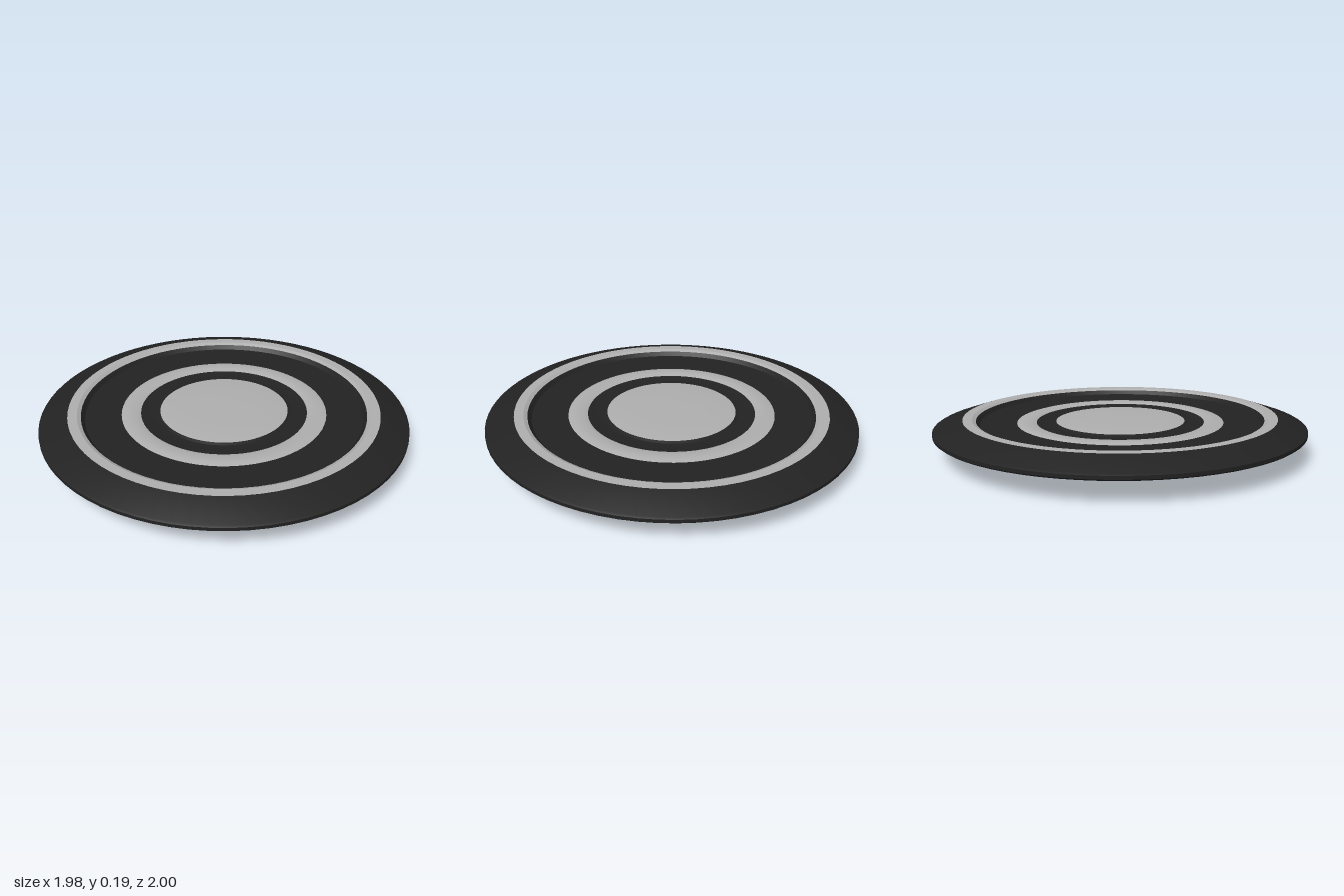
import * as THREE from 'three';
import { toCreasedNormals } from 'three/addons/utils/BufferGeometryUtils.js';

const dark = new THREE.MeshStandardMaterial({ color: 0x222222 });
const light = new THREE.MeshStandardMaterial({ color: 0xaeaeae });
dark.name = 'charcoal';
light.name = 'light grey';

// Turned band of the disc; the profile runs outward below and inward above
function band(name, material, profile, start = 0, length = Math.PI * 2) {
  const points = profile.map(([r, y]) => new THREE.Vector2(r, y));
  const segments = Math.max(6, Math.round(72 * length / (Math.PI * 2)));
  const geometry = new THREE.LatheGeometry(points, segments, start, length);
  const mesh = new THREE.Mesh(toCreasedNormals(geometry, 0.4), material);
  mesh.name = name;
  return mesh;
}

// Skin between equal cross-sections, optionally closed round and at the ends
function loft(name, material, sections, closed) {
  const n = sections[0].length;
  const index = [];
  for (let i = 0; i < sections.length - 1; i++) {
    for (let j = 0; j < (closed ? n : n - 1); j++) {
      const a = i * n + j, b = i * n + (j + 1) % n;
      index.push(a, b, a + n, b, b + n, a + n);
    }
  }
  if (closed) {
    const last = (sections.length - 1) * n;
    for (let j = 1; j < n - 1; j++) {
      index.push(0, j + 1, j, last, last + j, last + j + 1);
    }
  }
  const geometry = new THREE.BufferGeometry();
  geometry.setAttribute('position', new THREE.Float32BufferAttribute(sections.flat(2), 3));
  geometry.setIndex(index);
  const mesh = new THREE.Mesh(toCreasedNormals(geometry, 0.5), material);
  mesh.name = name;
  return mesh;
}

export function createModel() {
  const model = new THREE.Group();
  model.name = 'shield';

  // Disc, slightly narrower across than it is tall
  const disc = new THREE.Group();
  disc.name = 'disc';
  disc.scale.x = 0.988;
  disc.add(
    band('backCentre', dark, [[0, 0.125], [0.12, 0.125], [0.13, 0.118], [0.22, 0.118],
      [0.23, 0.108], [0.34, 0.108], [0.36, 0.095], [0.44, 0.09], [0.46, 0.066]]),
    band('backGroove', dark, [[0.61, 0.066], [0.63, 0.078], [0.74, 0.084], [0.765, 0.07]]),
    band('backOuterRing', light, [[0.765, 0.07], [0.845, 0.07]]),
    band('rim', dark, [[0.845, 0.07], [0.99, 0.112], [1, 0.12], [1, 0.137], [0.99, 0.143], [0.845, 0.19]]),
    band('frontOuterRing', light, [[0.845, 0.19], [0.795, 0.19], [0.775, 0.18]]),
    band('frontGroove', dark, [[0.775, 0.18], [0.755, 0.158], [0.56, 0.153]]),
    band('frontInnerRing', light, [[0.56, 0.153], [0.535, 0.16], [0.48, 0.16], [0.455, 0.152]]),
    band('frontInnerGroove', dark, [[0.455, 0.152], [0.44, 0.147], [0.365, 0.147], [0.35, 0.154]]),
    band('frontCentre', light, [[0.35, 0.154], [0.33, 0.157], [0.18, 0.16], [0, 0.161]]),
  );

  // Inner ring on the back, broken by dark gaps where the strap is fixed
  const ring = [[0.46, 0.066], [0.61, 0.066]];
  const near = 0.07, far = 0.58, half = Math.PI;
  disc.add(
    band('backInnerRingLeft', light, ring, far, half - 2 * far),
    band('backInnerRingRight', light, ring, half - near, half + 2 * near),
    band('strapGapFront', dark, ring, near, far - near),
    band('strapGapBack', dark, ring, half - far, far - near),
  );
  model.add(disc);

  // Bowed arm strap: z position and height of its lowest edge
  const stations = [[-0.55, 0.052], [-0.54, 0.043], [-0.5, 0.036], [-0.38, 0.024], [-0.25, 0.014],
    [0, 0.01], [0.25, 0.01], [0.38, 0.022], [0.5, 0.036], [0.54, 0.043], [0.55, 0.052]];
  const face = [[0.07, 0], [0.12, 0], [0.185, 0.006]];
  const outline = [[0.06, 0.008], ...face, [0.285, 0.022], [0.305, 0.032], [0.3, 0.055], [0.065, 0.035]];
  const sweep = (points, offset) => stations.map(([z, y]) => points.map(([x, dy]) => [x, y + dy + offset, z]));
  const strap = new THREE.Group();
  strap.name = 'strap';
  strap.add(
    loft('strapBody', dark, sweep(outline, 0.001), true),
    loft('strapFace', light, sweep(face, -0.001), false),
  );
  strap.position.y = -0.009;
  model.add(strap);
  return model;
}
